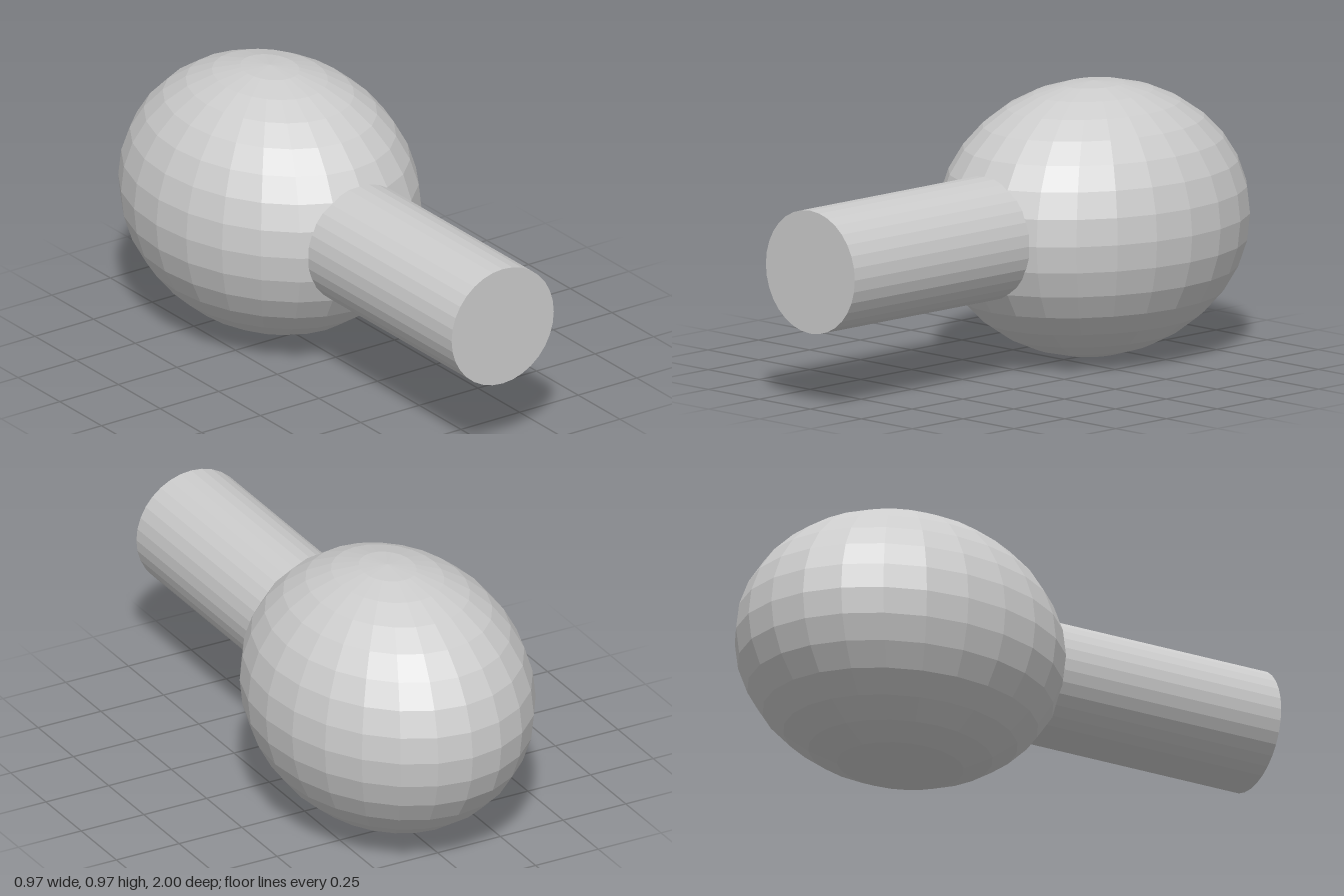
import * as THREE from 'three';

export function createModel() {
  const group = new THREE.Group();
  const material = new THREE.MeshStandardMaterial({ color: 0xcccccc, flatShading: true });
  const centreY = 0.487;

  // Faceted ellipsoid head, stretched front to back
  const head = new THREE.Mesh(new THREE.SphereGeometry(1, 24, 16), material);
  head.name = 'head';
  head.scale.set(0.485, 0.485, 0.605);
  head.position.set(0, centreY, -0.395);
  group.add(head);

  // Straight handle running forward from inside the head
  const back = -0.1, front = 1;
  const handleGeometry = new THREE.CylinderGeometry(0.218, 0.218, front - back, 32);
  handleGeometry.rotateX(Math.PI / 2);
  const handle = new THREE.Mesh(handleGeometry, material);
  handle.name = 'handle';
  handle.position.set(0, centreY, (front + back) / 2);
  group.add(handle);

  return group;
}
